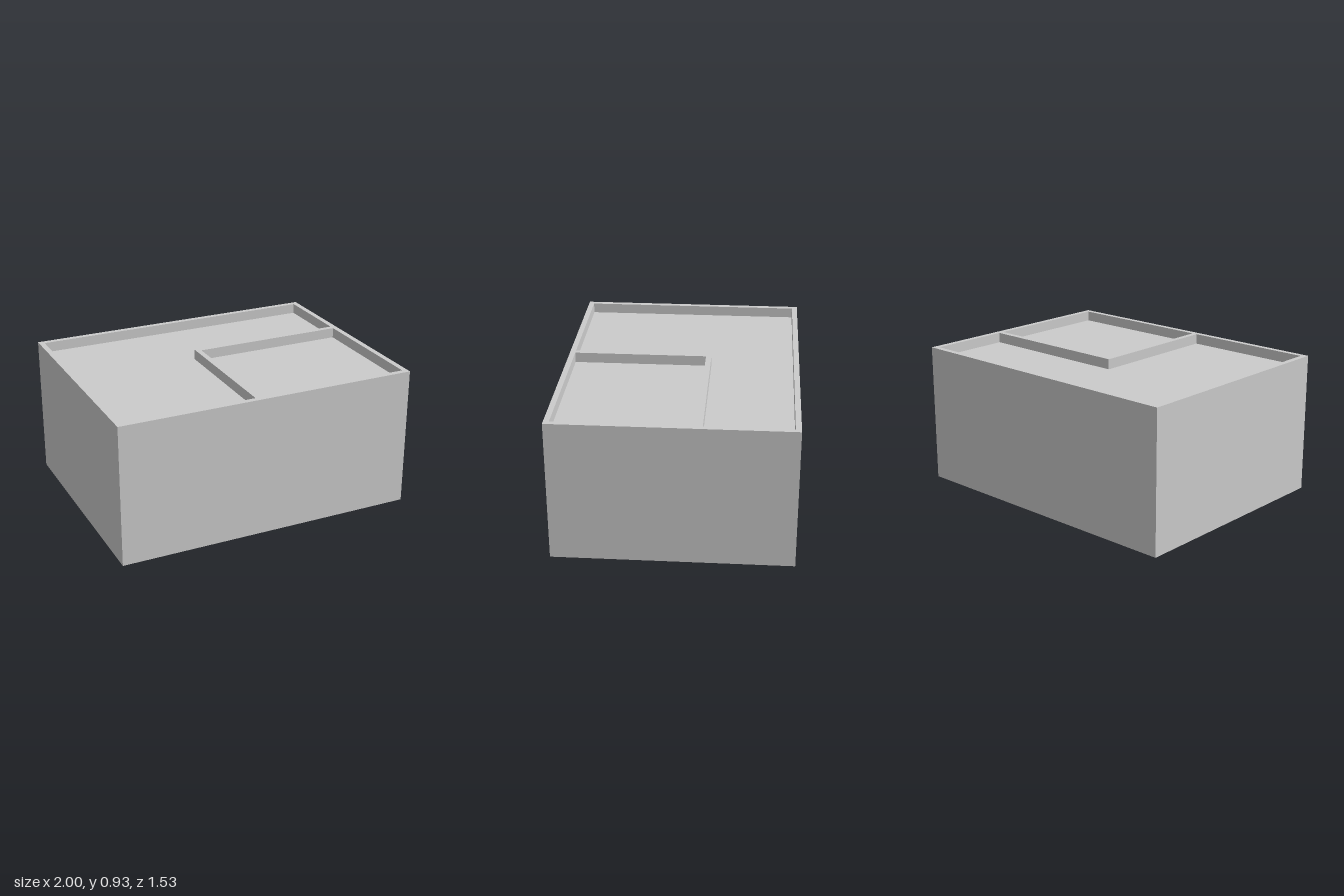
import * as THREE from 'three';

const HEIGHT = 0.93, RECESS = 0.068;
const X = 1, Z = 0.763, WALL = 0.036;
const IX = X - WALL, IZ = Z - WALL;
const mat = new THREE.MeshStandardMaterial({ color: 0xcccccc, flatShading: true, side: THREE.DoubleSide });

// plan outlines are [x, z] points
const rect = (x0, x1, z0, z1) => [[x0, z0], [x1, z0], [x1, z1], [x0, z1]];
const toVectors = (pts) => pts.map(([x, z]) => new THREE.Vector2(x, -z));

// horizontal sheet at height y, facing up or down
function sheet(name, outline, holes, y, up) {
  const shape = new THREE.Shape(toVectors(outline));
  shape.holes = holes.map((h) => new THREE.Path(toVectors(h)));
  const geo = new THREE.ShapeGeometry(shape).rotateX(-Math.PI / 2).translate(0, y, 0);
  if (!up) {
    geo.index.array.reverse();
    const n = geo.attributes.normal;
    for (let i = 0; i < n.count; i++) n.setY(i, -1);
  }
  const mesh = new THREE.Mesh(geo, mat);
  mesh.name = name;
  return mesh;
}

// vertical walls following a closed outline between two heights;
// inward turns the faces towards the middle of the outline
function walls(name, outline, y0, y1, inward) {
  const pos = [];
  outline.forEach(([ax, az], i) => {
    const [bx, bz] = outline[(i + 1) % outline.length];
    const tri = [[ax, y0, az], [bx, y1, bz], [bx, y0, bz], [ax, y0, az], [ax, y1, az], [bx, y1, bz]];
    if (inward) tri.reverse();
    pos.push(...tri.flat());
  });
  const geo = new THREE.BufferGeometry();
  geo.setAttribute('position', new THREE.Float32BufferAttribute(pos, 3));
  geo.computeVertexNormals();
  const mesh = new THREE.Mesh(geo, mat);
  mesh.name = name;
  return mesh;
}

// rim, recess walls and recess floors of one end of the block
function tray(name, holes, yRim, yFloor, up) {
  const g = new THREE.Group();
  g.name = name;
  g.add(sheet('rim', rect(-X, X, -Z, Z), holes, yRim, up));
  for (const h of holes) {
    g.add(sheet('recessFloor', h, [], yFloor, up));
    g.add(walls('recessWalls', h, Math.min(yRim, yFloor), Math.max(yRim, yFloor), true));
  }
  return g;
}

export function createModel() {
  const model = new THREE.Group();
  model.name = 'dividedBlock';
  model.add(walls('outerWalls', rect(-X, X, -Z, Z), 0, HEIGHT, false));

  // top: small compartment at the front left, L-shaped one around it
  const topHoles = [
    rect(-0.055, IX, -0.148, IZ),
    [[-IX, -IZ], [IX, -IZ], [IX, -0.184], [-0.091, -0.184], [-0.091, IZ], [-IX, IZ]],
  ];
  model.add(tray('topTray', topHoles, HEIGHT, HEIGHT - RECESS, true));

  // underside: small compartment at the back left, L-shaped one around it
  const bottomHoles = [
    rect(-0.2, IX, -IZ, 0.03),
    [[-IX, -IZ], [-0.236, -IZ], [-0.236, 0.066], [IX, 0.066], [IX, IZ], [-IX, IZ]],
  ];
  model.add(tray('bottomTray', bottomHoles, 0, RECESS, false));
  return model;
}
